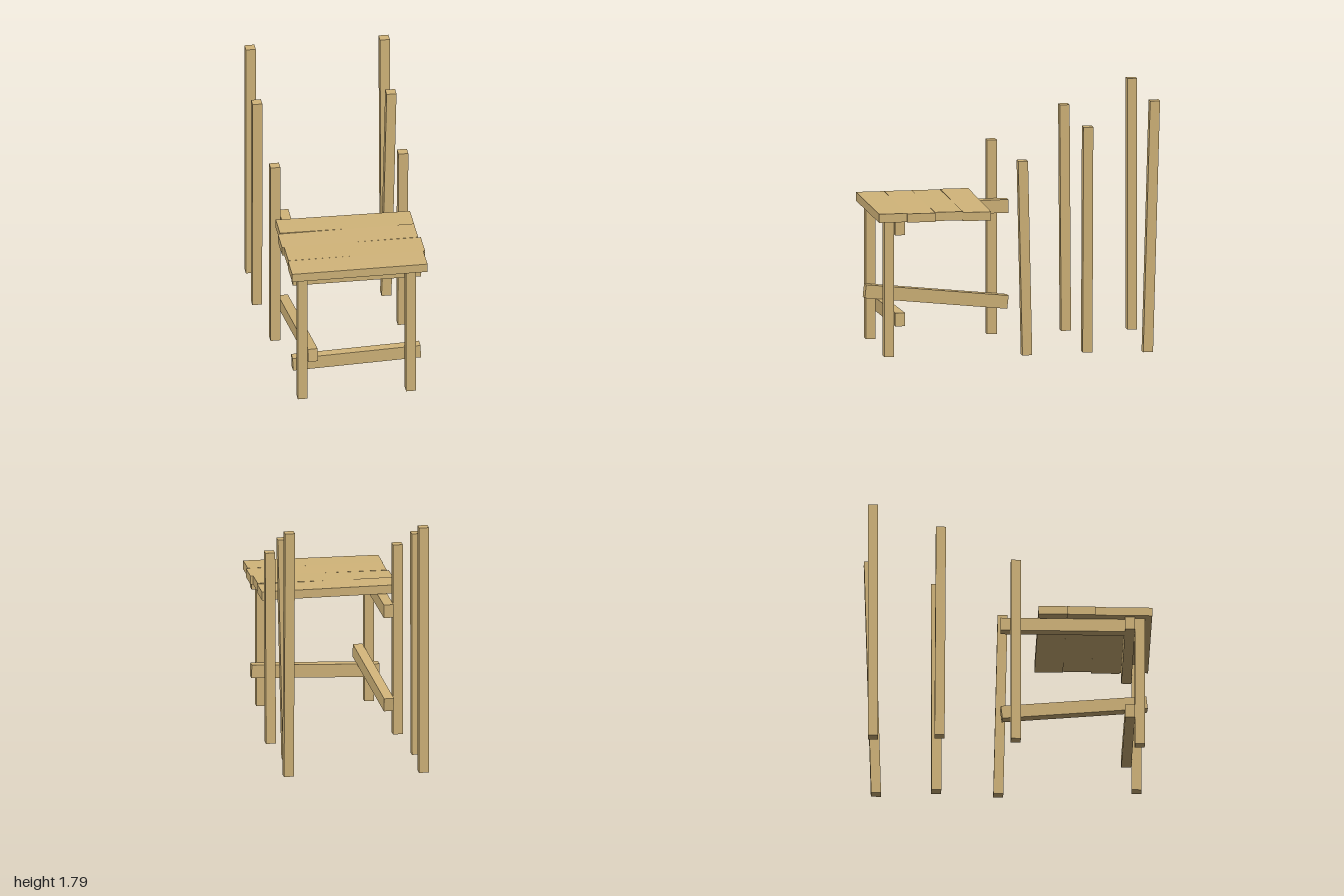
import * as THREE from 'three';

const T = 0.07; // timber thickness
const wood = new THREE.MeshStandardMaterial({ color: 0xd2b57a, flatShading: true });

function addMesh(group, name, geometry) {
  const mesh = new THREE.Mesh(geometry, wood);
  mesh.name = name;
  group.add(mesh);
  return mesh;
}

// Square post standing on the ground; its top is shifted sideways by (leanX, leanZ)
function post(group, name, x, z, height, leanX = 0, leanZ = 0) {
  const g = new THREE.BoxGeometry(T, height, T).translate(0, height / 2, 0);
  const p = g.attributes.position;
  for (let i = 0; i < p.count; i++) {
    const t = p.getY(i) / height;
    p.setX(i, p.getX(i) + leanX * t);
    p.setZ(i, p.getZ(i) + leanZ * t);
  }
  g.computeVertexNormals();
  addMesh(group, name, g).position.set(x, 0, z);
}

// Straight rail between the centres of its two ends
function rail(group, name, a, b) {
  const from = new THREE.Vector3(...a), to = new THREE.Vector3(...b);
  const mesh = addMesh(group, name, new THREE.BoxGeometry(T, 0.095, from.distanceTo(to)));
  mesh.position.copy(from).add(to).multiplyScalar(0.5);
  mesh.lookAt(to);
}

export function createModel() {
  const model = new THREE.Group();
  model.name = 'roughBench';

  // Front legs
  post(model, 'frontLegLeft', 0.385, 0.915, 0.97);
  post(model, 'frontLegRight', -0.385, 0.915, 0.97);

  // Three pairs of tall posts, rising towards the back, some leaning
  post(model, 'nearPostLeft', 0.475, -0.055, 1.385, 0, 0.03);
  post(model, 'nearPostRight', -0.445, 0.04, 1.385);
  post(model, 'middlePostLeft', 0.427, -0.493, 1.612, 0.036, 0);
  post(model, 'middlePostRight', -0.492, -0.498, 1.612, 0, 0.01);
  post(model, 'farPostLeft', 0.488, -0.915, 1.79, 0, -0.05);
  post(model, 'farPostRight', -0.466, -0.965, 1.79);

  // Rails under the seat, and the crooked stretchers below
  rail(model, 'frontApron', [-0.445, 0.922, 0.845], [0.465, 0.922, 0.845]);
  rail(model, 'sideApron', [-0.368, 0.922, -0.065], [-0.368, 0.922, 0.845]);
  rail(model, 'frontStretcher', [-0.445, 0.242, 0.845], [0.465, 0.273, 0.845]);
  rail(model, 'sideStretcher', [-0.37, 0.237, -0.06], [-0.315, 0.352, 0.965]);

  // Four uneven seat boards: [right end, left end, tilt]
  const boards = [
    [-0.463, 0.492, -0.009],
    [-0.478, 0.49, 0.005],
    [-0.464, 0.508, 0],
    [-0.468, 0.495, 0.003],
  ];
  boards.forEach(([x0, x1, tilt], i) => {
    const board = addMesh(model, `seatBoard${i + 1}`, new THREE.BoxGeometry(x1 - x0, 0.062, 0.2));
    board.position.set((x0 + x1) / 2, 1.002, 0.3 + i * 0.2);
    board.rotation.z = tilt;
  });

  return model;
}
